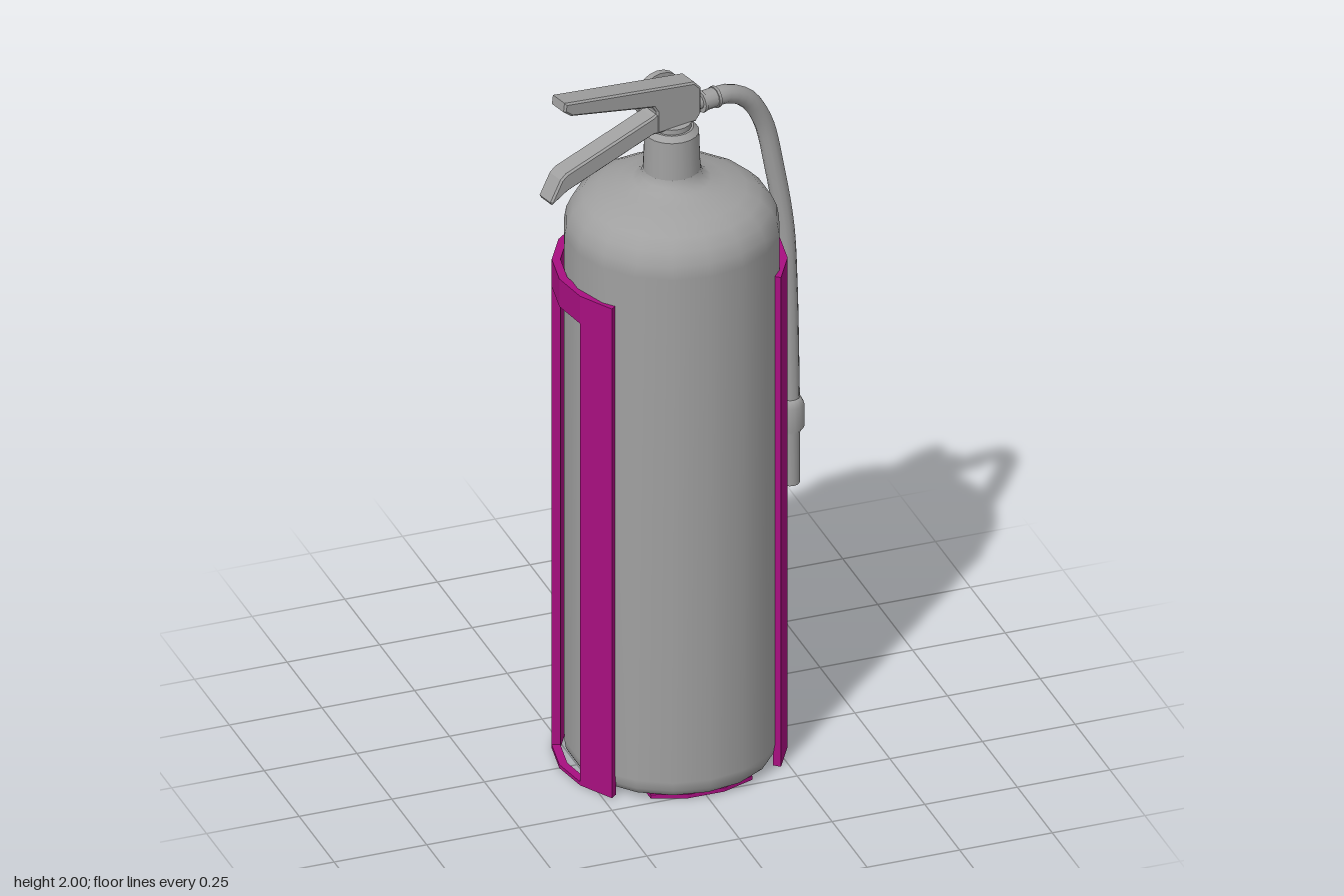
import * as THREE from 'three';

const grey = new THREE.MeshStandardMaterial({ color: 0xa0a0a0, side: THREE.DoubleSide });
const magenta = new THREE.MeshStandardMaterial({ color: 0xa80f80 });
const deg = Math.PI / 180;
const AXIS_Z = 0.015;

function add(parent, name, geometry, material, x = 0, y = 0, z = 0) {
  const mesh = new THREE.Mesh(geometry, material);
  mesh.name = name;
  mesh.position.set(x, y, z);
  parent.add(mesh);
  return mesh;
}

const vectors = (pairs) => pairs.map(([x, y]) => new THREE.Vector2(x, y));

// Flat outline (x, toward the back) raised straight up
function slab(points, height) {
  const geometry = new THREE.ExtrudeGeometry(new THREE.Shape(points), { depth: height, bevelEnabled: false });
  return geometry.rotateX(-Math.PI / 2);
}

// Faceted ring section in 20 degree steps; 0 is +x and 90 is the back
function arcSlab(from, to, height, outer = 0.298, inner = 0.276) {
  const points = [];
  const at = (r, a) => new THREE.Vector2(r * Math.cos(a * deg), r * Math.sin(a * deg));
  for (let a = from; a <= to; a += 20) points.push(at(outer, a));
  for (let a = to; a >= from; a -= 20) points.push(at(inner, a));
  return slab(points, height);
}

// Side outline extruded to a width centred on z = 0
function lever(pairs, width) {
  const bevel = 0.005;
  const geometry = new THREE.ExtrudeGeometry(new THREE.Shape(vectors(pairs)), {
    depth: width - 2 * bevel, bevelThickness: bevel, bevelSize: bevel, bevelOffset: -bevel, bevelSegments: 1,
  });
  return geometry.translate(0, 0, -width / 2 + bevel);
}

function createTank() {
  const tank = new THREE.Group();
  tank.name = 'tank';
  tank.position.z = AXIS_Z;
  const body = vectors([
    [0, 0.012], [0.245, 0.012], [0.262, 0.018], [0.272, 0.035], [0.276, 0.06], [0.276, 0.8], [0.276, 1.52],
    [0.27, 1.555], [0.255, 1.588], [0.228, 1.616], [0.19, 1.636], [0.14, 1.652], [0.1, 1.664],
    [0.08, 1.677], [0.074, 1.695],
  ]);
  add(tank, 'body', new THREE.LatheGeometry(body, 18), grey);
  add(tank, 'neck', new THREE.CylinderGeometry(0.07, 0.074, 0.11, 18), grey, 0, 1.745, 0);
  add(tank, 'neckCollar', new THREE.CylinderGeometry(0.056, 0.07, 0.014, 18), grey, 0, 1.807, 0);
  add(tank, 'valveSeat', new THREE.CylinderGeometry(0.05, 0.05, 0.016, 18), grey, 0, 1.82, 0);
  return tank;
}

function createValve() {
  const valve = new THREE.Group();
  valve.name = 'valve';
  valve.position.z = AXIS_Z;
  valve.rotation.y = 13.5 * deg;

  // Head and squeeze lever in one outline
  add(valve, 'headAndUpperLever', lever([
    [-0.345, 2.0], [-0.348, 1.975], [-0.325, 1.957], [-0.075, 1.902], [-0.065, 1.885],
    [-0.065, 1.822], [0.055, 1.822], [0.07, 1.842], [0.07, 1.915], [0.05, 1.937],
  ], 0.062), grey);
  add(valve, 'lowerLever', lever([
    [-0.05, 1.886], [-0.075, 1.874], [-0.34, 1.793], [-0.356, 1.78], [-0.387, 1.724],
    [-0.382, 1.715], [-0.335, 1.742], [-0.075, 1.822], [-0.05, 1.822],
  ], 0.058), grey);

  // Pressure gauge on a short stem at the back
  const stem = add(valve, 'gaugeStem', new THREE.CylinderGeometry(0.011, 0.011, 0.06, 12), grey, 0.015, 1.857, -0.05);
  const gauge = add(valve, 'gauge', new THREE.CylinderGeometry(0.069, 0.069, 0.018, 20), grey, 0.015, 1.857, -0.081);
  stem.rotation.x = gauge.rotation.x = Math.PI / 2;

  // Hose coupling: spigot, ribbed nut and end ring
  for (const [name, x, radius, length] of [
    ['hoseSpigot', 0.08, 0.018, 0.03], ['hoseCoupling', 0.112, 0.026, 0.05],
    ['couplingRing', 0.09, 0.029, 0.008], ['couplingRing', 0.132, 0.029, 0.008],
  ]) {
    add(valve, name, new THREE.CylinderGeometry(radius, radius, length, 12), grey, x, 1.855, 0).rotation.z = Math.PI / 2;
  }
  return valve;
}

function createHose() {
  const hose = new THREE.Group();
  hose.name = 'hose';
  const path = new THREE.CatmullRomCurve3([
    [0.11, 1.855, -0.012], [0.165, 1.852, -0.026], [0.225, 1.817, -0.042], [0.272, 1.738, -0.054],
    [0.303, 1.6, -0.056], [0.33, 1.42, -0.053], [0.338, 1.25, -0.051], [0.344, 0.91, -0.05],
  ].map((p) => new THREE.Vector3(...p)));
  add(hose, 'hoseTube', new THREE.TubeGeometry(path, 40, 0.025, 12), grey);
  // Hollow nozzle with a thick grip collar
  const nozzle = vectors([
    [0, 0.72], [0.018, 0.72], [0.018, 0.677], [0.025, 0.677], [0.025, 0.825],
    [0.036, 0.84], [0.036, 0.905], [0.026, 0.925], [0, 0.925],
  ]);
  add(hose, 'nozzle', new THREE.LatheGeometry(nozzle, 16), grey, 0.344, 0, -0.05);
  return hose;
}

function createBracket() {
  const bracket = new THREE.Group();
  bracket.name = 'bracket';
  add(bracket, 'upperBand', arcSlab(-40, 220, 0.08), magenta, 0, 1.34, 0);
  add(bracket, 'lowerBand', arcSlab(-40, 220, 0.01), magenta);
  for (let a = -40; a <= 200; a += 60) {
    add(bracket, 'upright', arcSlab(a, a + 20, 1.34), magenta);
  }
  // Strip under the tank, from the back of the band to the front
  const strip = vectors([
    [-0.05, -0.26], [0.05, -0.26], [0.137, -0.228], [0.137, 0.245], [0.048, 0.277], [-0.048, 0.277],
    [-0.137, 0.245], [-0.137, -0.228],
  ]);
  add(bracket, 'baseStrip', slab(strip, 0.011), magenta);
  return bracket;
}

export function createModel() {
  const model = new THREE.Group();
  model.name = 'fireExtinguisher';
  model.add(createTank(), createValve(), createHose(), createBracket());
  return model;
}
